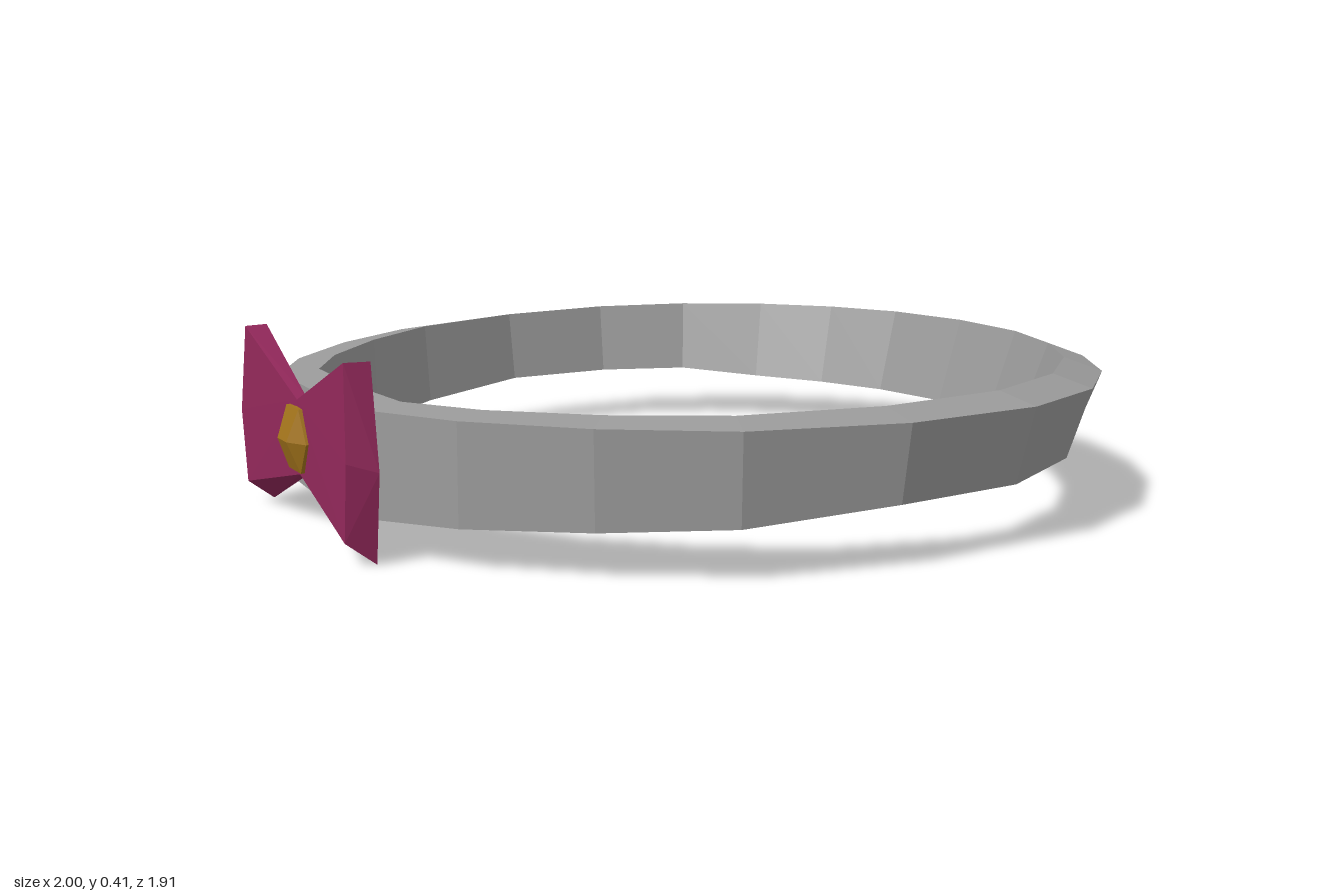
import * as THREE from 'three';
import { ConvexGeometry } from 'three/addons/geometries/ConvexGeometry.js';

// Half outline of the band's outer top edge, from +x round the front to -x
const OUTLINE = [
  [0.998, 0], [0.967, 0.27], [0.88, 0.49], [0.74, 0.69], [0.54, 0.855], [0.28, 0.953],
  [-0.05, 0.957], [-0.38, 0.86], [-0.61, 0.69], [-0.8, 0.48], [-0.91, 0.28], [-0.925, 0],
];
// Height of the lower edge at those points, on the front and on the back half
const LOW_FRONT = [0.113, 0.13, 0.15, 0.158, 0.15, 0.14, 0.14, 0.115, 0.104, 0.093, 0.085, 0.083];
const LOW_BACK = [0.113, 0.113, 0.115, 0.12, 0.139, 0.14, 0.14, 0.115, 0.104, 0.093, 0.085, 0.083];
const THICKNESS = 0.088;

// Four corners of the band at one outline point
function section(x, z, low) {
  const r = Math.hypot(x, z);
  const c = x / r, s = z / r;
  const at = (radius, y) => new THREE.Vector3(radius * c, y, radius * s);
  const lean = 0.03 + 0.038 * c; // the band flares most on the +x side
  return [
    at(r - lean, low),
    at(r, 0.31),
    at(r - THICKNESS, 0.33 + 0.014 * c),
    at(r - THICKNESS - lean, low + 0.006 + 0.006 * c),
  ];
}

// Closed loop of sections, with one flat normal for each four-sided facet
function bandGeometry() {
  const rings = OUTLINE.map(([x, z], i) => section(x, z, LOW_FRONT[i]));
  for (let i = OUTLINE.length - 2; i > 0; i--) {
    rings.push(section(OUTLINE[i][0], -OUTLINE[i][1], LOW_BACK[i]));
  }
  const positions = [], normals = [];
  rings.forEach((ring, i) => {
    const next = rings[(i + 1) % rings.length];
    for (let j = 0; j < 4; j++) {
      const k = (j + 1) % 4;
      const [a, b, c, d] = [ring[j], ring[k], next[k], next[j]];
      const normal = c.clone().sub(a).cross(d.clone().sub(b)).normalize();
      for (const p of [a, b, c, a, c, d]) {
        positions.push(...p.toArray());
        normals.push(...normal.toArray());
      }
    }
  });
  const geometry = new THREE.BufferGeometry();
  geometry.setAttribute('position', new THREE.Float32BufferAttribute(positions, 3));
  geometry.setAttribute('normal', new THREE.Float32BufferAttribute(normals, 3));
  return geometry;
}

const hull = (points) =>
  new ConvexGeometry(points.map(([x, y, z]) => new THREE.Vector3(x, y, z)));

// One flared wing of the bow; side is +1 or -1 along z, reach is its corner distance
function wingGeometry(side, reach) {
  return hull([
    // narrow end at the knot
    [-0.94, 0.295, 0], [-0.94, 0.13, 0], [-0.963, 0.295, 0], [-0.963, 0.13, 0],
    // wide end, bulging at mid height
    [-0.922, 0.42, reach * side], [-0.922, 0.2, 0.375 * side], [-0.922, 0.005, reach * side],
    [-0.975, 0.42, (reach - 0.01) * side], [-0.983, 0.22, 0.352 * side],
    [-0.985, 0.055, (reach - 0.01) * side],
  ]);
}

// Faceted knot with a short ridge along z
function knotGeometry() {
  const y = 0.21;
  const points = [[-1, y, 0.03], [-1, y, -0.03]];
  for (const x of [-0.974, -0.955]) {
    for (const s of [1, -1]) {
      points.push([x, y, 0.083 * s], [x, y + 0.07, 0.04 * s], [x, y - 0.07, 0.04 * s]);
    }
  }
  return hull(points);
}

export function createModel() {
  const group = new THREE.Group();
  group.name = 'bowCollar';
  const add = (name, geometry, material, parent) => {
    const mesh = new THREE.Mesh(geometry, material);
    mesh.name = name;
    parent.add(mesh);
  };

  // Collar band
  add('band', bandGeometry(), new THREE.MeshStandardMaterial({ color: 0x9a9a9a }), group);

  // Bow on the -x side
  const bow = new THREE.Group();
  bow.name = 'bow';
  group.add(bow);
  const cloth = new THREE.MeshStandardMaterial({ color: 0x92285a, flatShading: true });
  const gold = new THREE.MeshStandardMaterial({ color: 0xa0721b, flatShading: true });
  add('frontBowWing', wingGeometry(1, 0.345), cloth, bow);
  add('backBowWing', wingGeometry(-1, 0.33), cloth, bow);
  add('bowKnot', knotGeometry(), gold, bow);

  return group;
}
